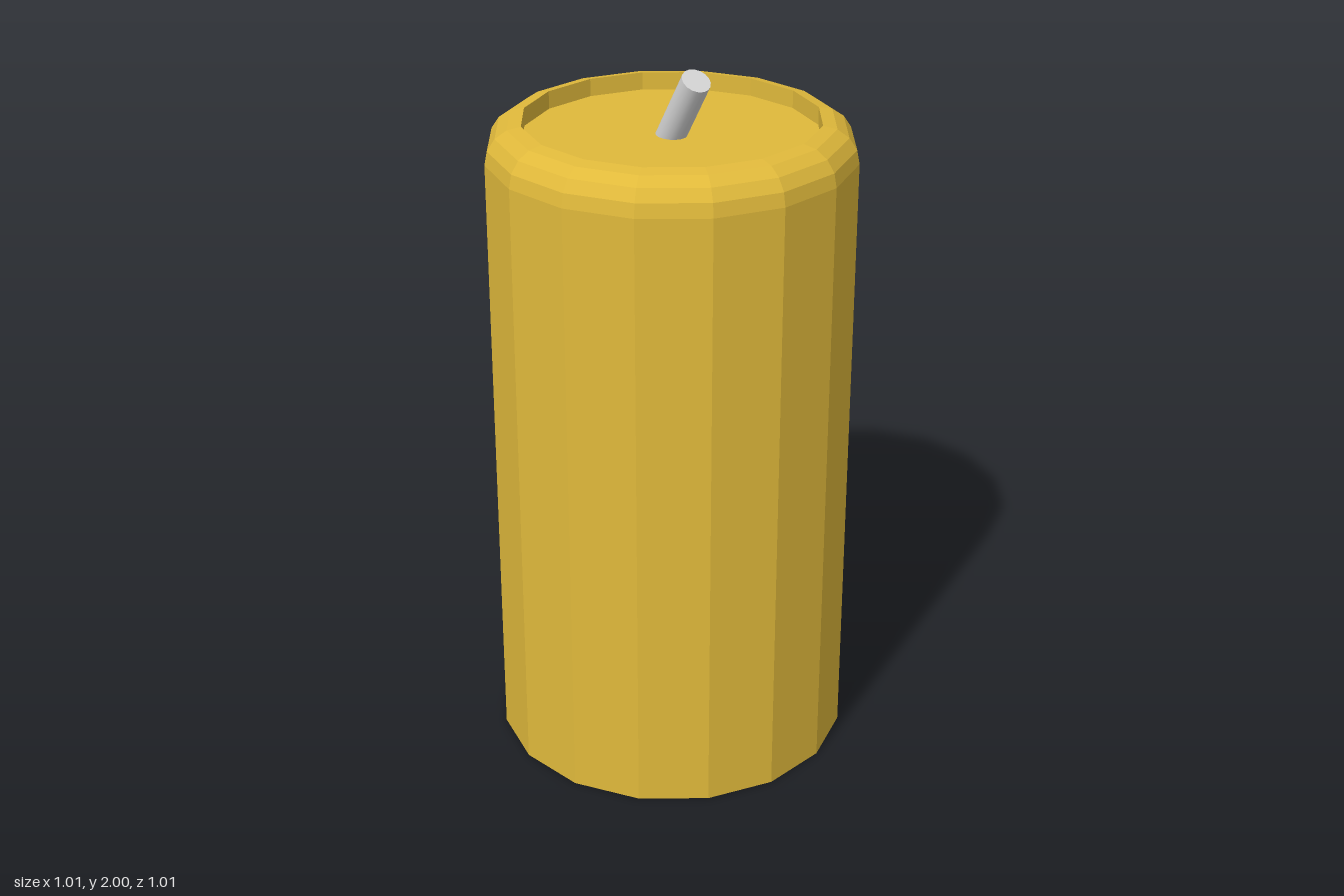
import * as THREE from 'three';

export function createModel() {
  const group = new THREE.Group();
  const wax = new THREE.MeshStandardMaterial({ color: 0xe0b93b, flatShading: true });
  wax.name = 'golden wax';
  const cord = new THREE.MeshStandardMaterial({ color: 0xd4d4d4 });
  cord.name = 'pale grey cord';

  // Sixteen-sided body: flat base, rounded shoulder, recessed top
  const radius = 0.505, top = 1.85, round = 0.1, floorY = 1.8;
  const profile = [new THREE.Vector2(0, 0), new THREE.Vector2(radius, 0)];
  for (let i = 0; i <= 4; i++) {
    const a = (i / 4) * Math.PI / 2;
    profile.push(new THREE.Vector2(
      radius - round + round * Math.cos(a),
      top - round + round * Math.sin(a)
    ));
  }
  profile.push(new THREE.Vector2(radius - round, floorY), new THREE.Vector2(0, floorY));
  const body = new THREE.Mesh(new THREE.LatheGeometry(profile, 16), wax);
  body.name = 'candleBody';
  group.add(body);

  // Wick leaning forward, its foot sunk slightly into the wax
  const tilt = THREE.MathUtils.degToRad(33);
  const length = 0.25;
  const wickGeometry = new THREE.CylinderGeometry(0.04, 0.04, length, 16);
  wickGeometry.translate(0, -length / 2, 0);
  const wick = new THREE.Mesh(wickGeometry, cord);
  wick.name = 'wick';
  wick.rotation.x = tilt;
  wick.position.set(0, 1.978, 0.113);
  group.add(wick);

  return group;
}
